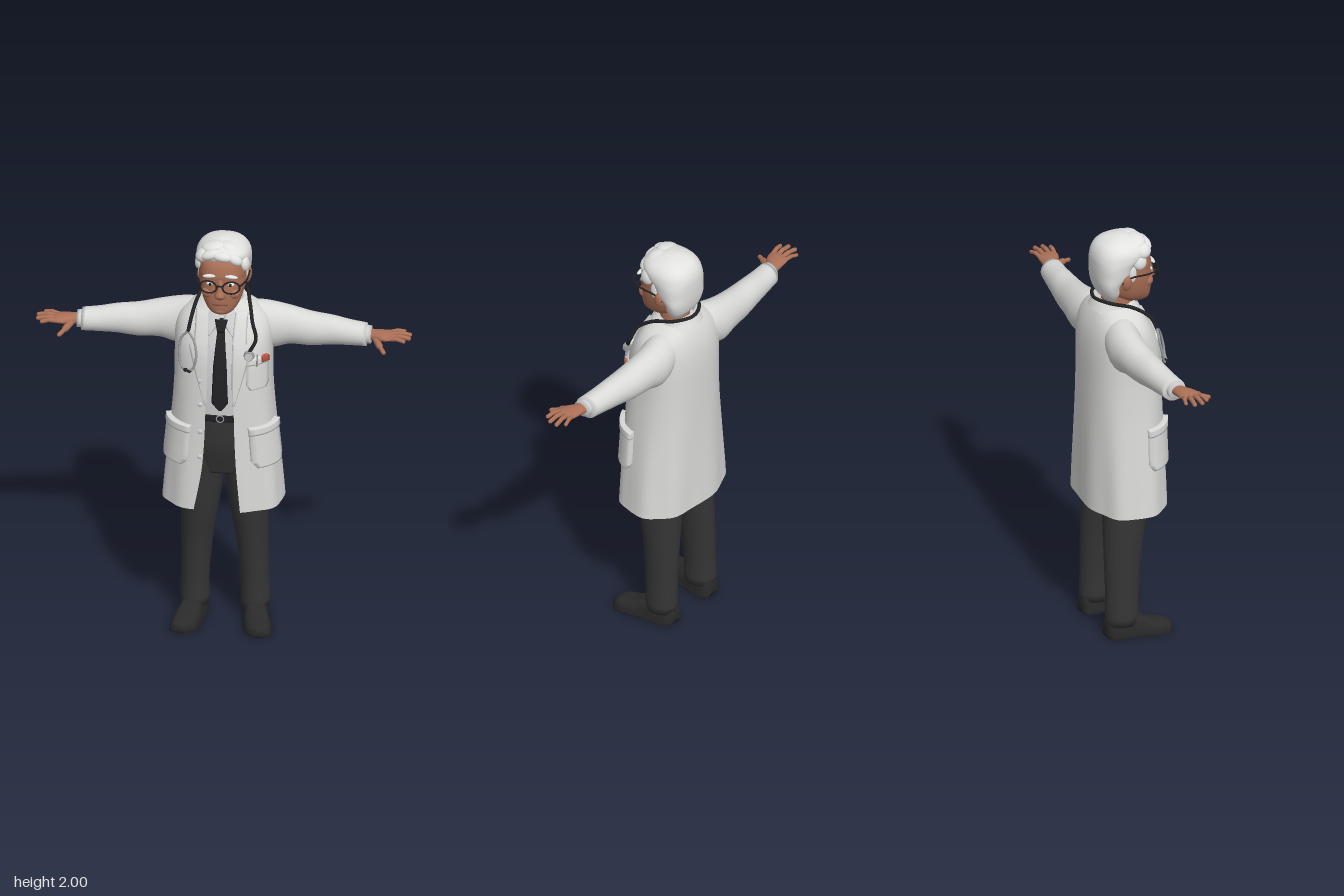
import * as THREE from 'three';

const V = (x, y, z) => new THREE.Vector3(x, y, z);
const mat = (name, color, side = THREE.FrontSide) => {
  const m = new THREE.MeshStandardMaterial({ color, side });
  m.name = name;
  return m;
};
const E = 0.82; // squareness of the cross-sections
const sp = (v, e = E) => Math.sign(v) * Math.pow(Math.abs(v), e);

// Smooth interpolation of rows [t, a, b, ...]
function keyed(keys) {
  const slope = (i, c) => {
    const a = keys[Math.max(i - 1, 0)], b = keys[Math.min(i + 1, keys.length - 1)];
    return (b[c] - a[c]) / (b[0] - a[0]);
  };
  const fn = t => {
    let i = 0;
    while (i < keys.length - 2 && t > keys[i + 1][0]) i++;
    const A = keys[i], B = keys[i + 1], h = B[0] - A[0], u = (t - A[0]) / h, u2 = u * u, u3 = u2 * u;
    return A.slice(1).map((a, k) => (2 * u3 - 3 * u2 + 1) * a + (u3 - 2 * u2 + u) * h * slope(i, k + 1)
      + (3 * u2 - 2 * u3) * B[k + 1] + (u3 - u2) * h * slope(i + 1, k + 1));
  };
  fn.range = [keys[0][0], keys.at(-1)[0]];
  return fn;
}
const steps = (a, b, n) => Array.from({ length: n + 1 }, (_, i) => a + (b - a) * i / n);

// Skin over a list of rings
function loft(rings, { open = false, cap = true } = {}) {
  if (cap && !open) {
    const mid = r => { const c = r.reduce((s, p) => s.add(p), V(0, 0, 0)).divideScalar(r.length); return r.map(() => c); };
    rings = [mid(rings[0]), ...rings, mid(rings.at(-1))];
  }
  const n = rings[0].length, idx = [];
  for (let i = 0; i < rings.length - 1; i++) for (let j = 0; j < (open ? n - 1 : n); j++) {
    const a = i * n + j, b = i * n + (j + 1) % n, c = b + n, d = a + n;
    idx.push(a, b, c, a, c, d);
  }
  const g = new THREE.BufferGeometry().setFromPoints(rings.flat());
  g.setIndex(idx);
  g.computeVertexNormals();
  return g;
}

// Upright bodies: keys are [y, halfWidth, zFront, zBack]; angle 0 faces front
const bodyPt = (fn, th, y, off = 0) => {
  const [rx, zf, zb] = fn(y);
  return V(rx * sp(Math.sin(th)) + off * Math.sin(th), y, (zf + zb) / 2 + (zf - zb) / 2 * sp(Math.cos(th)) + off * Math.cos(th));
};
const angleAt = (fn, x, y) => Math.asin(sp(THREE.MathUtils.clamp(x / fn(y)[0], -1, 1), 1 / E));
const onFront = (fn, x, y, off = 0) => bodyPt(fn, angleAt(fn, x, y), y, off);
const circle = n => steps(0, Math.PI * 2, n).slice(0, n);
const body = (fn, n = 36, rows = 28) => loft(steps(...fn.range, rows).map(y => circle(n).map(t => bodyPt(fn, t, y))));

// Raised panel on a body: rows are [y, from, to], in x or in angle
function patch(fn, rows, off, byAngle = false) {
  const f = t => {
    const i = Math.min(Math.floor(t), rows.length - 2), u = t - i;
    return rows[i].map((v, k) => v + (rows[i + 1][k] - v) * u);
  };
  const ts = steps(0, rows.length - 1, (rows.length - 1) * 5);
  const line = (t, flat) => {
    const [y, a, b] = f(t), us = steps(a, b, 8);
    return [us[0], ...us, us[8]].map((u, k) => bodyPt(fn, byAngle ? u : angleAt(fn, u, y), y, flat || k === 0 || k === 10 ? -0.004 : off));
  };
  return loft([line(0, true), ...ts.map(t => line(t, false)), line(rows.length - 1, true)], { open: true });
}

// Sideways limbs: keys are [x, cy, cz, ry, rz]
const limb = (keys, rows = 20) => {
  const fn = keyed(keys);
  return loft(steps(...fn.range, rows).map(x => {
    const [cy, cz, ry, rz] = fn(x);
    return circle(24).map(t => V(x, cy - ry * Math.sin(t), cz + rz * Math.cos(t)));
  }));
};
const tube = (pts, r) => new THREE.TubeGeometry(new THREE.CatmullRomCurve3(pts), 40, r, 8);
const rod = (a, b, r) => {
  const d = b.clone().sub(a), g = new THREE.CapsuleGeometry(r, d.length(), 5, 10);
  g.applyQuaternion(new THREE.Quaternion().setFromUnitVectors(V(0, 1, 0), d.normalize()));
  return g.translate(...a.clone().add(b).multiplyScalar(0.5).toArray());
};
const blob = (x, y, z, rx, ry, rz, tilt = 0) => new THREE.SphereGeometry(1, 20, 14).scale(rx, ry, rz).rotateZ(tilt).translate(x, y, z);
const mirrored = geo => {
  const g = geo.clone().scale(-1, 1, 1), a = g.index.array;
  for (let i = 0; i < a.length; i += 3) [a[i + 1], a[i + 2]] = [a[i + 2], a[i + 1]];
  return g;
};

export function createModel() {
  const root = new THREE.Group();
  const D = THREE.DoubleSide;
  const coatM = mat('coatWhite', 0xd9d9d8, D), shirtM = mat('shirtWhite', 0xcfcfd0, D), hairM = mat('hairWhite', 0xe2e2e1);
  const skinM = mat('skin', 0xab7056), lipM = mat('lip', 0x8a5243), trouserM = mat('trouserGrey', 0x353535);
  const shoeM = mat('shoeBlack', 0x2a2a2a), darkM = mat('dark', 0x222225, D), metalM = mat('metal', 0x9a9c9e), redM = mat('red', 0xb5503c);
  const add = (name, geo, m) => { const k = new THREE.Mesh(geo, m); k.name = name; root.add(k); };
  const both = (name, geo, m) => { add(name + 'Left', geo, m); add(name + 'Right', mirrored(geo), m); };

  // Trousers and belt
  const hips = keyed([[0.8, 0.17, 0.09, -0.12], [0.95, 0.19, 0.13, -0.15], [1.06, 0.18, 0.14, -0.15], [1.14, 0.17, 0.143, -0.14]]);
  add('trouserHips', body(hips), trouserM);
  const leg = keyed([[0.06, 0.14, -0.052, 0.068, 0.078], [0.1, 0.14, -0.052, 0.069, 0.08], [0.2, 0.138, -0.05, 0.066, 0.08],
    [0.4, 0.128, -0.042, 0.074, 0.09], [0.6, 0.112, -0.026, 0.09, 0.106], [0.75, 0.102, -0.02, 0.097, 0.115], [0.95, 0.09, -0.01, 0.095, 0.125]]);
  both('trouserLeg', loft(steps(0.06, 0.95, 24).map(y => {
    const [cx, cz, rx, rz] = leg(y);
    return circle(28).map(t => V(cx + rx * Math.sin(t), y, cz + rz * Math.cos(t)));
  })), trouserM);
  add('belt', patch(hips, [[1.1, -0.13, 0.13], [1.135, -0.13, 0.13]], 0.008), darkM);
  add('beltBuckle', new THREE.TorusGeometry(0.017, 0.003, 6, 20).translate(0, 1.118, 0.153), metalM);

  // Shoes: sections run from heel to toe as [z, centreX, halfWidth, height]
  const shoe = keyed([[-0.13, 0.135, 0.035, 0.08], [-0.11, 0.137, 0.052, 0.1], [-0.04, 0.143, 0.058, 0.112], [0.02, 0.152, 0.058, 0.095],
    [0.08, 0.164, 0.064, 0.068], [0.14, 0.175, 0.058, 0.056], [0.165, 0.18, 0.042, 0.046], [0.177, 0.182, 0.02, 0.034]]);
  const shoeGeo = (grow, hMax) => loft(steps(-0.13, 0.177, 24).map(z => {
    const [cx, w, h] = shoe(z);
    return circle(24).map(t => V(cx + (w + grow) * sp(Math.cos(t), 0.7), Math.max(0, Math.min(h, hMax) * sp(Math.sin(t), 0.7)), z));
  }));
  both('shoe', shoeGeo(0, 1), shoeM);
  both('shoeSole', shoeGeo(0.005, 0.022), darkM);

  // Shirt, collar points and tie
  const shirt = keyed([[1.1, 0.17, 0.148, -0.14], [1.3, 0.18, 0.154, -0.15], [1.45, 0.18, 0.138, -0.15], [1.55, 0.16, 0.108, -0.14],
    [1.61, 0.115, 0.083, -0.12], [1.66, 0.08, 0.06, -0.09]]);
  add('shirt', body(shirt), shirtM);
  both('shirtCollar', patch(shirt, [[1.535, 0.05, 0.054], [1.575, 0.022, 0.075], [1.61, 0.008, 0.08], [1.645, 0.022, 0.075]], 0.016), shirtM);
  add('tie', patch(shirt, [[1.165, -0.006, 0.006], [1.205, -0.037, 0.037], [1.4, -0.03, 0.03], [1.56, -0.016, 0.016]], 0.01), darkM);
  add('tieKnot', patch(shirt, [[1.555, -0.015, 0.015], [1.61, -0.027, 0.027]], 0.02), darkM);

  // Coat body, open at the front; the last two key columns are the opening
  const coat = keyed([[0.65, 0.279, 0.185, -0.186, 0.095, 0.12], [0.85, 0.262, 0.182, -0.183, 0.078, 0.085], [1.0, 0.248, 0.179, -0.181, 0.07, 0.072],
    [1.15, 0.235, 0.177, -0.18, 0.066, 0.066], [1.3, 0.227, 0.173, -0.18, 0.064, 0.064], [1.45, 0.226, 0.16, -0.178, 0.064, 0.064],
    [1.54, 0.222, 0.13, -0.168, 0.064, 0.064], [1.6, 0.198, 0.1, -0.15, 0.062, 0.062], [1.64, 0.15, 0.08, -0.13, 0.06, 0.06], [1.675, 0.09, 0.06, -0.105, 0.055, 0.055]]);
  add('coatBody', loft(steps(0.65, 1.675, 44).map(y => {
    const k = coat(y), fold = 0.005 * THREE.MathUtils.clamp((1.25 - y) / 0.5, 0, 1);
    return steps(angleAt(coat, k[3], y), Math.PI * 2 - angleAt(coat, k[4], y), 64).map(t => bodyPt(coat, t, y, fold * Math.sin(t * 8)));
  }), { open: true }), coatM);
  both('lapel', patch(coat, [[1.2, 0.058, 0.068], [1.36, 0.056, 0.11], [1.49, 0.056, 0.142], [1.51, 0.056, 0.118], [1.64, 0.062, 0.115]], 0.009), coatM);
  const collar = [[1.645, 0.135, 0.09, -0.142], [1.67, 0.118, 0.078, -0.128], [1.702, 0.098, 0.06, -0.108], [1.66, 0.088, 0.05, -0.098]];
  add('coatCollar', loft(collar.map(([y, rx, zf, zb]) => steps(0.65, Math.PI * 2 - 0.65, 36).map(t =>
    V(rx * Math.sin(t), y - 0.025 * (1 + Math.cos(t)), (zf + zb) / 2 + (zf - zb) / 2 * Math.cos(t)))), { open: true }), coatM);

  // Pockets, buttons, pen and card
  both('coatPocket', patch(coat, [[0.88, 0.62, 1.36], [0.91, 0.52, 1.45], [1.075, 0.5, 1.43]], 0.02, true), coatM);
  both('pocketHem', patch(coat, [[1.05, 0.49, 1.44], [1.085, 0.49, 1.44]], 0.025, true), coatM);
  add('chestPocket', patch(coat, [[1.28, 0.135, 0.2], [1.3, 0.122, 0.21], [1.44, 0.122, 0.208]], 0.011), coatM);
  add('chestPocketHem', patch(coat, [[1.405, 0.12, 0.21], [1.435, 0.12, 0.21]], 0.014), coatM);
  add('pocketCard', patch(coat, [[1.415, 0.178, 0.204], [1.44, 0.178, 0.204]], 0.021), redM);
  add('pocketPen', rod(onFront(coat, 0.16, 1.40, 0.016), onFront(coat, 0.16, 1.455, 0.016), 0.004), metalM);
  for (const y of [0.93, 1.06, 1.2, 1.32]) {
    const p = onFront(coat, -0.088, y, 0.006);
    add('coatButton', blob(p.x, p.y, p.z, 0.012, 0.012, 0.006), shirtM);
  }

  // Sleeves and shirt cuffs
  both('sleeve', limb([[0.1, 1.545, -0.045, 0.09, 0.085], [0.16, 1.53, -0.055, 0.108, 0.09], [0.22, 1.515, -0.066, 0.113, 0.086], [0.3, 1.517, -0.067, 0.094, 0.077],
    [0.4, 1.508, -0.058, 0.082, 0.072], [0.5, 1.51, -0.05, 0.07, 0.064], [0.58, 1.507, -0.04, 0.06, 0.06], [0.66, 1.506, -0.03, 0.054, 0.056]], 32), coatM);
  both('shirtCuff', limb([[0.63, 1.508, -0.028, 0.044, 0.046], [0.682, 1.51, -0.024, 0.041, 0.043]], 4), shirtM);

  // Hands
  both('palm', limb([[0.65, 1.51, -0.022, 0.027, 0.032], [0.69, 1.513, -0.018, 0.024, 0.034], [0.735, 1.518, -0.004, 0.021, 0.047],
    [0.77, 1.521, 0.0, 0.015, 0.05], [0.785, 1.522, 0.0, 0.009, 0.044]], 14), skinM);
  const fingers = [[-0.036, 0.832, -0.052, 0.009], [-0.012, 0.86, -0.02, 0.0105], [0.013, 0.859, 0.018, 0.0105], [0.036, 0.838, 0.05, 0.01]];
  for (const [z0, x1, z1, r] of fingers) {
    const mid = V(0.765 + (x1 - 0.765) * 0.55, 1.528, z0 + (z1 - z0) * 0.55);
    both('fingerBase', rod(V(0.765, 1.521, z0), mid, r * 1.08), skinM);
    both('fingerTip', rod(mid, V(x1, 1.521, z1), r), skinM);
  }
  both('thumbBase', rod(V(0.70, 1.508, 0.0), V(0.728, 1.495, 0.058), 0.016), skinM);
  both('thumbTip', rod(V(0.728, 1.495, 0.058), V(0.752, 1.484, 0.1), 0.0105), skinM);

  // Head and face
  add('neck', new THREE.CylinderGeometry(0.066, 0.072, 0.16, 28).translate(0, 1.66, -0.015), skinM);
  const head = keyed([[1.652, 0.03, 0.128, 0.05], [1.664, 0.056, 0.142, 0.01], [1.7, 0.083, 0.148, -0.05], [1.75, 0.1, 0.15, -0.09],
    [1.8, 0.109, 0.147, -0.1], [1.83, 0.11, 0.146, -0.105], [1.86, 0.111, 0.148, -0.105], [1.92, 0.106, 0.128, -0.1], [1.96, 0.07, 0.08, -0.06]]);
  add('head', body(head, 40, 36), skinM);
  add('nose', body(keyed([[1.742, 0.014, 0.158, 0.1], [1.757, 0.028, 0.178, 0.1], [1.768, 0.026, 0.186, 0.1], [1.795, 0.017, 0.173, 0.1], [1.84, 0.012, 0.152, 0.1]]), 20, 14), skinM);
  add('mouth', patch(head, [[1.709, -0.03, 0.03], [1.717, -0.034, 0.034]], 0.004), lipM);
  add('chin', blob(0, 1.675, 0.122, 0.036, 0.022, 0.026), skinM);
  both('cheek', blob(0.056, 1.763, 0.112, 0.034, 0.03, 0.032), skinM);
  both('ear', blob(0.113, 1.795, -0.012, 0.015, 0.04, 0.024, -0.15), skinM);
  both('eyeWhite', blob(0.047, 1.815, 0.134, 0.018, 0.01, 0.012), hairM);
  both('pupil', blob(0.047, 1.815, 0.143, 0.007, 0.008, 0.005), darkM);
  both('eyebrow', blob(0.05, 1.858, 0.142, 0.032, 0.009, 0.011, -0.08), hairM);

  // Hair: swept cap with overlapping locks along the hairline
  add('hair', body(keyed([[1.69, 0.068, -0.03, -0.085], [1.73, 0.095, -0.018, -0.112], [1.78, 0.113, -0.018, -0.125], [1.83, 0.122, 0.035, -0.13],
    [1.875, 0.126, 0.062, -0.131], [1.905, 0.127, 0.108, -0.13], [1.94, 0.121, 0.13, -0.12], [1.97, 0.098, 0.115, -0.098], [1.99, 0.062, 0.075, -0.06], [1.999, 0.025, 0.03, -0.025]]), 40, 36), hairM);
  for (const [x, y, z, rx, ry, rz, a] of [[-0.085, 1.935, 0.075, 0.042, 0.032, 0.045, 0.7], [-0.05, 1.95, 0.105, 0.048, 0.024, 0.03, 0.35],
    [0.005, 1.945, 0.112, 0.05, 0.024, 0.028, -0.15], [0.06, 1.93, 0.1, 0.042, 0.026, 0.03, -0.6], [0.1, 1.895, 0.062, 0.026, 0.042, 0.036, 0.2],
    [-0.104, 1.89, 0.055, 0.023, 0.04, 0.036, -0.2], [-0.04, 1.972, 0.06, 0.058, 0.024, 0.05, 0.2], [0.04, 1.968, 0.055, 0.055, 0.025, 0.05, -0.3]])
    add('hairLock', blob(x, y, z, rx, ry, rz, a), hairM);
  both('sideburn', blob(0.108, 1.835, 0.02, 0.009, 0.042, 0.018), hairM);

  // Glasses
  both('glassesRim', new THREE.TorusGeometry(0.036, 0.0042, 8, 32).scale(1.1, 0.86, 1).rotateY(0.14).translate(0.053, 1.812, 0.163), darkM);
  both('glassesTemple', tube([V(0.093, 1.82, 0.157), V(0.116, 1.822, 0.1), V(0.121, 1.822, 0.0), V(0.117, 1.8, -0.035)], 0.0042), darkM);
  add('glassesBridge', tube([V(-0.015, 1.817, 0.167), V(0, 1.823, 0.174), V(0.015, 1.817, 0.167)], 0.004), darkM);

  // Stethoscope draped round the neck
  const c = (x, y, off = 0.02) => onFront(coat, x, y, off);
  add('stethoscopeTube', tube([c(0.125, 1.475), c(0.15, 1.53, 0.022), c(0.13, 1.6, 0.025), V(0.122, 1.668, 0.015), V(0.09, 1.697, -0.085), V(0, 1.698, -0.128),
    V(-0.09, 1.697, -0.085), V(-0.122, 1.668, 0.015), c(-0.125, 1.61, 0.025), c(-0.138, 1.55, 0.024)], 0.0085), darkM);
  add('earTubeOuter', tube([c(-0.138, 1.555, 0.024), c(-0.17, 1.51, 0.022), c(-0.174, 1.43, 0.022), c(-0.165, 1.385, 0.022), c(-0.14, 1.37, 0.025)], 0.006), metalM);
  add('earTubeInner', tube([c(-0.138, 1.555, 0.024), c(-0.108, 1.51, 0.024), c(-0.1, 1.44, 0.024), c(-0.115, 1.385, 0.024), c(-0.13, 1.375, 0.03)], 0.006), metalM);
  for (const x of [-0.142, -0.126]) { const p = c(x, 1.373, 0.028); add('earTip', blob(p.x, p.y, p.z, 0.011, 0.009, 0.009), darkM); }
  const cp = c(0.125, 1.458, 0.02);
  add('chestPiece', new THREE.CylinderGeometry(0.022, 0.026, 0.018, 24).rotateX(Math.PI / 2).translate(cp.x, cp.y, cp.z), metalM);
  add('chestPieceFace', new THREE.CylinderGeometry(0.018, 0.018, 0.004, 24).rotateX(Math.PI / 2).translate(cp.x, cp.y, cp.z + 0.01), shirtM);
  return root;
}
